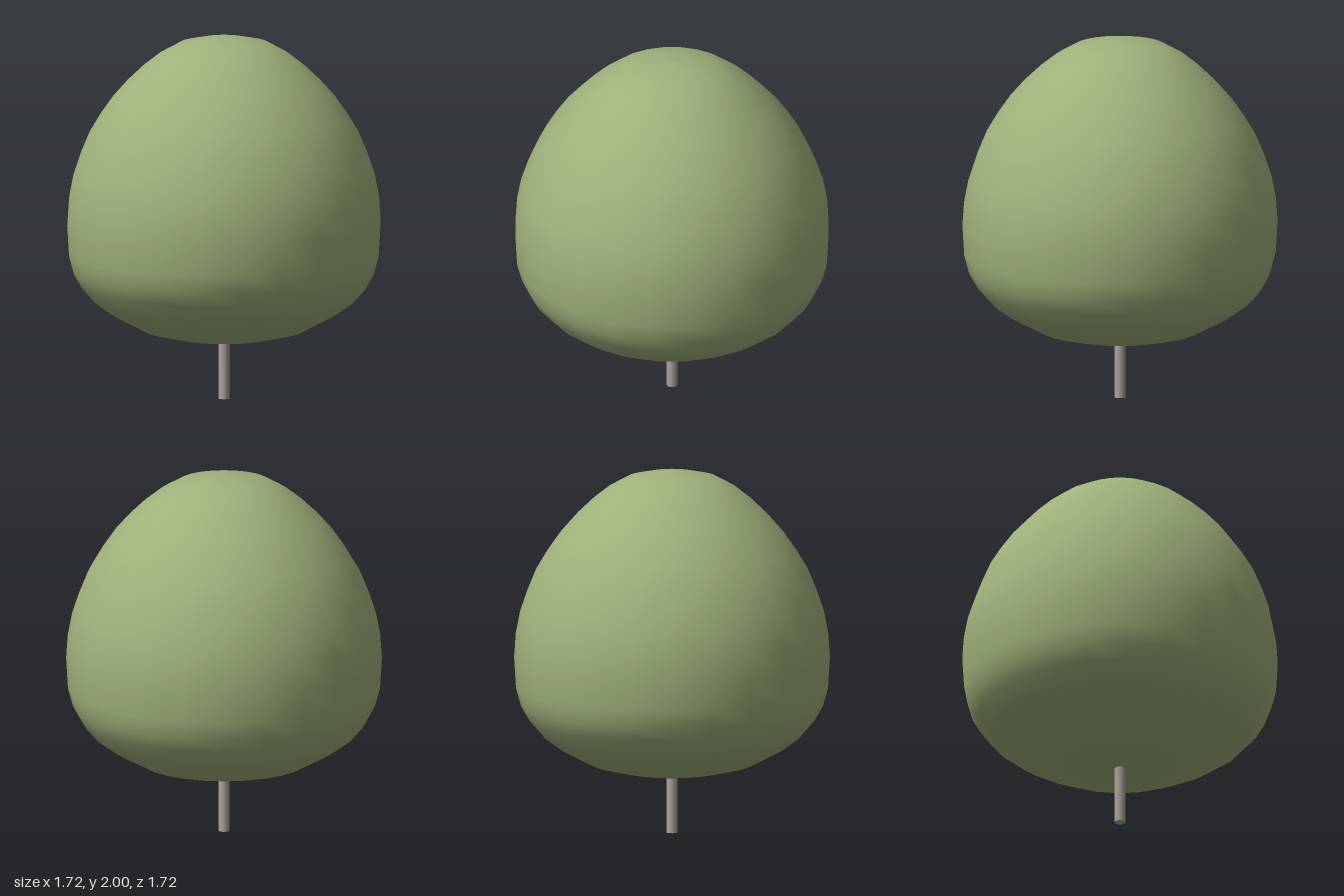
import * as THREE from 'three';

export function createModel() {
  const group = new THREE.Group();

  // Rounded foliage dome, profile from underside to crown
  const profile = [
    [0, 0.32], [0.27, 0.34], [0.44, 0.38], [0.62, 0.475], [0.71, 0.54], [0.78, 0.62],
    [0.825, 0.7], [0.852, 0.8], [0.862, 0.97], [0.853, 1.1], [0.83, 1.22], [0.79, 1.34],
    [0.74, 1.46], [0.68, 1.56], [0.61, 1.66], [0.53, 1.75], [0.44, 1.835], [0.35, 1.905],
    [0.24, 1.965], [0.12, 1.99], [0, 2],
  ].map(([r, y]) => new THREE.Vector2(r, y));
  const foliage = new THREE.Mesh(
    new THREE.LatheGeometry(profile, 24),
    new THREE.MeshStandardMaterial({ color: 0x9fb07a }),
  );
  foliage.name = 'foliage';
  group.add(foliage);

  // Thin trunk reaching a little way into the foliage
  const trunk = new THREE.Mesh(
    new THREE.CylinderGeometry(0.029, 0.029, 0.36, 16),
    new THREE.MeshStandardMaterial({ color: 0xa8a29a }),
  );
  trunk.name = 'trunk';
  trunk.position.y = 0.18;
  group.add(trunk);

  return group;
}
